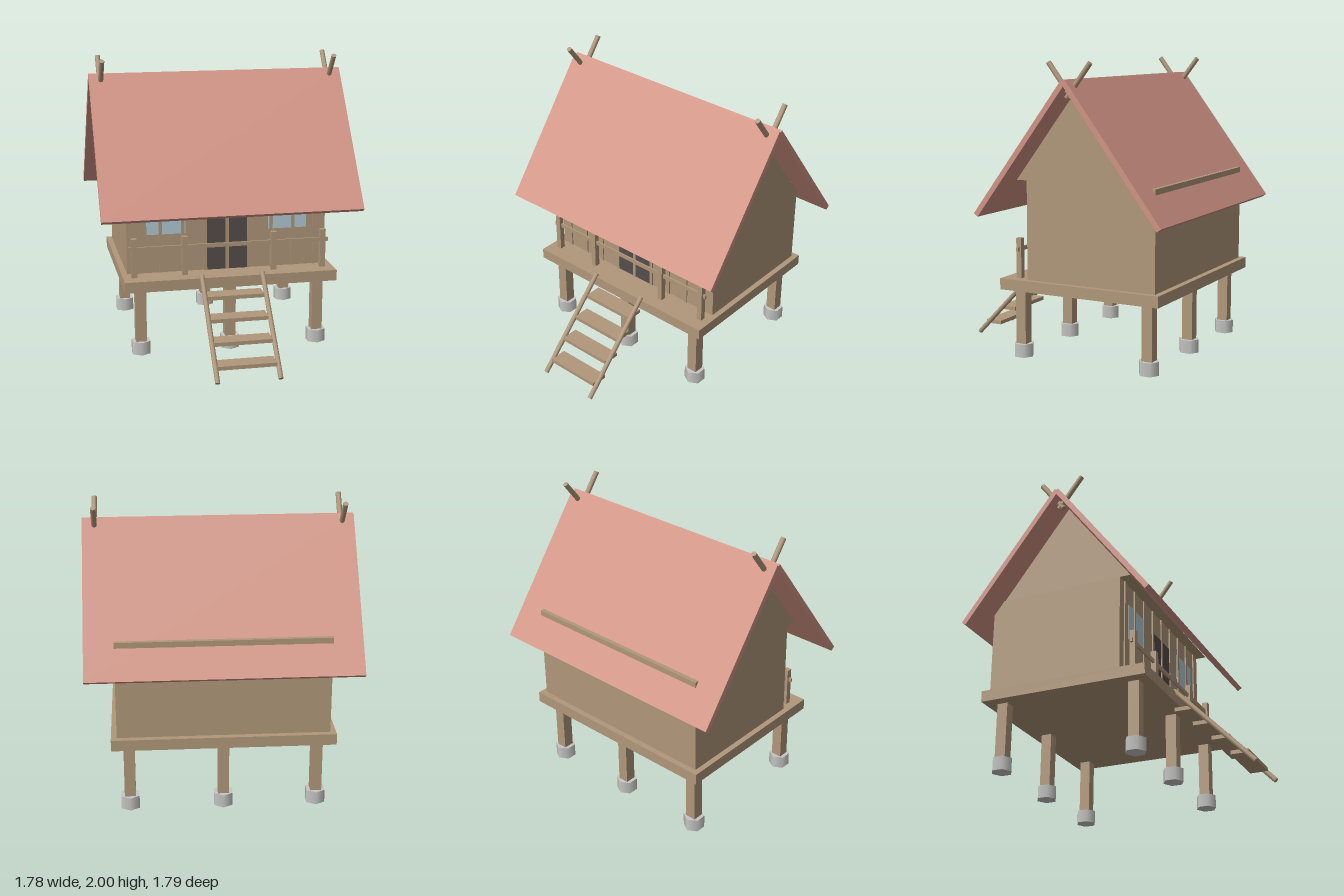
import * as THREE from 'three';

const mat = (name, color) => {
  const m = new THREE.MeshStandardMaterial({ color });
  m.name = name;
  return m;
};

export function createModel() {
  const wood = mat('wood', 0xb0977a);
  const roofRed = mat('roof red', 0xd09384);
  const stone = mat('stone', 0xc6c6c4);
  const glass = mat('window glass', 0xb2cad4);
  const doorDark = mat('door dark', 0x554d4a);

  const hut = new THREE.Group();
  hut.name = 'stiltHut';

  const add = (name, geometry, material) => {
    const mesh = new THREE.Mesh(geometry, material);
    mesh.name = name;
    hut.add(mesh);
    return mesh;
  };
  // box from its limits on each axis
  const box = (name, x0, x1, y0, y1, z0, z1, material = wood) => {
    const mesh = add(name, new THREE.BoxGeometry(x1 - x0, y1 - y0, z1 - z0), material);
    mesh.position.set((x0 + x1) / 2, (y0 + y1) / 2, (z0 + z1) / 2);
    return mesh;
  };
  // round pole lying in a plane of constant x, between two [z, y] points
  const pole = (name, x, [z0, y0], [z1, y1], radius) => {
    const a = new THREE.Vector3(x, y0, z0);
    const b = new THREE.Vector3(x, y1, z1);
    const dir = b.clone().sub(a);
    const mesh = add(name, new THREE.CylinderGeometry(radius, radius, dir.length(), 8), wood);
    mesh.position.copy(a).add(b).multiplyScalar(0.5);
    mesh.quaternion.setFromUnitVectors(new THREE.Vector3(0, 1, 0), dir.normalize());
  };
  // [z, y] outline extruded along x, centred on x = 0
  const prism = (name, points, width, material) => {
    const shape = new THREE.Shape(points.map(([z, y]) => new THREE.Vector2(-z, y)));
    const g = new THREE.ExtrudeGeometry(shape, { depth: width, bevelEnabled: false });
    g.translate(0, 0, -width / 2);
    g.rotateY(Math.PI / 2);
    add(name, g, material);
  };

  // stilts on hexagonal stone footings
  for (const z of [0.25, -0.685]) {
    for (const x of [-0.62, 0, 0.62]) {
      box('stilt', x - 0.037, x + 0.037, 0.1, 0.49, z - 0.037, z + 0.037);
      const foot = add('footing', new THREE.CylinderGeometry(0.07, 0.07, 0.09, 6), stone);
      foot.position.set(x, 0.065, z);
    }
  }

  // floor and house body
  box('platform', -0.735, 0.735, 0.485, 0.56, -0.8, 0.36);
  box('houseBody', -0.697, 0.697, 0.56, 1.22, -0.76, 0.17);
  prism('gable', [[0.245, 1.22], [-0.2175, 1.832], [-0.68, 1.22]], 1.394, wood);

  // two roof slabs leaning on each other at the ridge
  const ridge = -0.2175;
  for (const s of [1, -1]) {
    const slab = [[0.6725, 1.01], [0.0125, 1.885], [-0.0155, 1.864], [0.6445, 0.989]];
    prism(s > 0 ? 'frontRoof' : 'backRoof', slab.map(([z, y]) => [ridge + s * z, y]), 1.78, roofRed);
    // crossed poles at both ends of the ridge
    for (const x of [-0.81, 0.81]) {
      pole('ridgePole', x, [ridge - s * 0.018, 1.77], [ridge + s * 0.148, 1.988], 0.018);
    }
  }

  // door leaves, windows and wall battens
  box('door', -0.14, 0.14, 0.56, 1.06, 0.17, 0.174, doorDark);
  for (const s of [-1, 1]) {
    box('window', s * 0.425 - 0.135, s * 0.425 + 0.135, 0.83, 1.08, 0.17, 0.174, glass);
  }
  for (let i = -4; i <= 4; i++) {
    box('wallBatten', i * 0.155 - 0.011, i * 0.155 + 0.011, 0.56, 1.22, 0.169, 0.179);
  }

  // porch railing
  for (const x of [-0.658, -0.31, 0.31, 0.658]) {
    box('railingPost', x - 0.019, x + 0.019, 0.56, 0.83, 0.23, 0.268);
  }
  box('handrail', -0.697, 0.697, 0.742, 0.77, 0.243, 0.256);

  // ladder with four treads
  for (const x of [-0.21, 0.21]) {
    pole('ladderRail', x, [0.885, 0.015], [0.345, 0.575], 0.017);
  }
  for (let i = 0; i < 4; i++) {
    const y = 0.095 + i * 0.117;
    const z = 0.775 - i * 0.124;
    box('ladderTread', -0.198, 0.198, y - 0.013, y + 0.013, z - 0.06, z + 0.06);
  }

  return hut;
}
